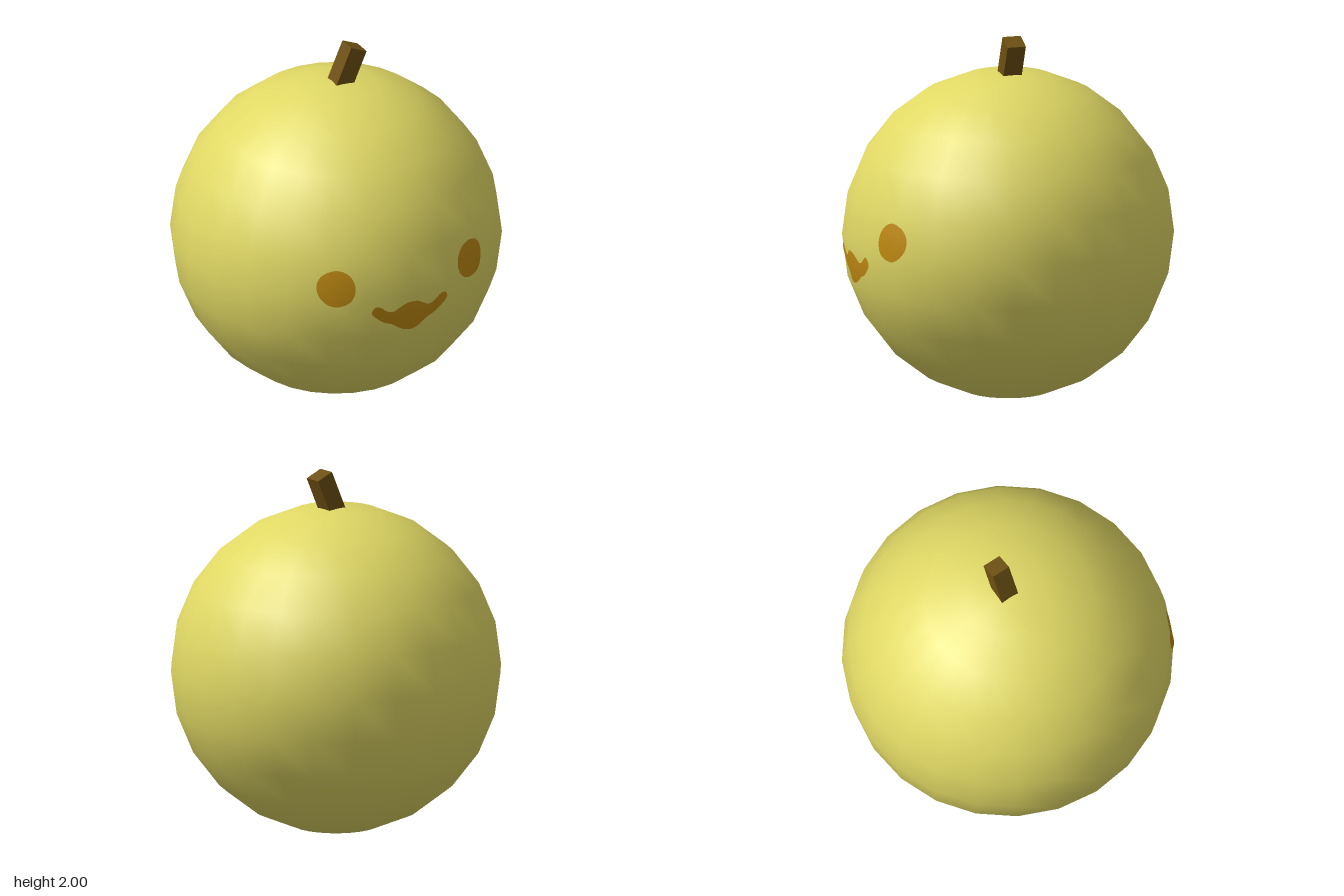
import * as THREE from 'three';

const R = 0.9, SEG = 24, STEP = (Math.PI * 2) / SEG;

const flat = (name, color) => Object.assign(new THREE.MeshStandardMaterial({ color }), { name });

// z of the front of the faceted ball at (x, y), with y measured from its centre
function frontZ(x, y) {
  const i = Math.floor(Math.asin(y / R) / STEP);
  const y0 = R * Math.sin(i * STEP), y1 = R * Math.sin((i + 1) * STEP);
  const r = THREE.MathUtils.mapLinear(y, y0, y1, R * Math.cos(i * STEP), R * Math.cos((i + 1) * STEP));
  const apothem = r * Math.cos(STEP / 2);
  let z = Infinity;
  for (let k = -5; k < 5; k++) {
    const a = (k + 0.5) * STEP;
    z = Math.min(z, (apothem - x * Math.sin(a)) / Math.cos(a));
  }
  return z;
}

// Thin painted patch hugging the ball, from columns of [x, bottom, top]
function patch(name, columns, material) {
  const rows = 24, pos = [], nor = [], index = [];
  columns.forEach(([x, lo, hi], c) => {
    for (let j = 0; j <= rows; j++) {
      const y = THREE.MathUtils.lerp(lo, hi, j / rows) - R;
      const p = new THREE.Vector3(x, y, frontZ(x, y));
      const n = p.clone().normalize();
      p.addScaledVector(n, 0.003);
      pos.push(p.x, p.y + R, p.z);
      nor.push(n.x, n.y, n.z);
      if (c > 0 && j < rows) {
        const b = c * (rows + 1) + j, a = b - rows - 1;
        index.push(a, b, b + 1, a, b + 1, a + 1);
      }
    }
  });
  const g = new THREE.BufferGeometry();
  g.setAttribute('position', new THREE.Float32BufferAttribute(pos, 3));
  g.setAttribute('normal', new THREE.Float32BufferAttribute(nor, 3));
  g.setIndex(index);
  const mesh = new THREE.Mesh(g, material);
  mesh.name = name;
  return mesh;
}

export function createModel() {
  const model = new THREE.Group();
  model.name = 'fruit';
  const skin = flat('yellow skin', 0xe0d864);
  const face = flat('amber face', 0xc08a12);
  const wood = flat('brown stem', 0x6e5012);

  // Round body
  const body = new THREE.Mesh(new THREE.SphereGeometry(R, SEG, SEG / 2), skin);
  body.name = 'body';
  body.position.y = R;
  model.add(body);

  // Leaning square stem, sunk into the body
  const stem = new THREE.Mesh(new THREE.BoxGeometry(0.102, 0.3, 0.104), wood);
  stem.name = 'stem';
  stem.rotation.z = -0.41;
  stem.position.set(0.113 - 0.15 * Math.sin(0.41), 1.98 - 0.15 * Math.cos(0.41), 0);
  model.add(stem);

  // Round eyes
  for (const side of [-1, 1]) {
    const columns = [];
    for (let i = 0; i <= 32; i++) {
      const a = (i / 32 - 0.5) * Math.PI, h = 0.105 * Math.cos(a);
      columns.push([side * 0.405 + 0.094 * Math.sin(a), 0.977 - h, 0.977 + h]);
    }
    model.add(patch(side > 0 ? 'leftEye' : 'rightEye', columns, face));
  }

  // Wavy smiling mouth: half profile of [x, bottom, top], mirrored
  const half = [
    [0.035, 0.686, 0.852], [0.075, 0.708, 0.828], [0.11, 0.732, 0.81], [0.145, 0.745, 0.822],
    [0.18, 0.768, 0.85], [0.205, 0.79, 0.858], [0.222, 0.806, 0.847], [0.23, 0.826, 0.828],
  ];
  const points = [...half.map(([x, b, t]) => [-x, b, t]).reverse(), [0, 0.682, 0.858], ...half];
  const curve = new THREE.CatmullRomCurve3(points.map((p) => new THREE.Vector3(...p)));
  const columns = curve.getPoints(64).map((p) => p.toArray());
  model.add(patch('mouth', columns, face));

  return model;
}
